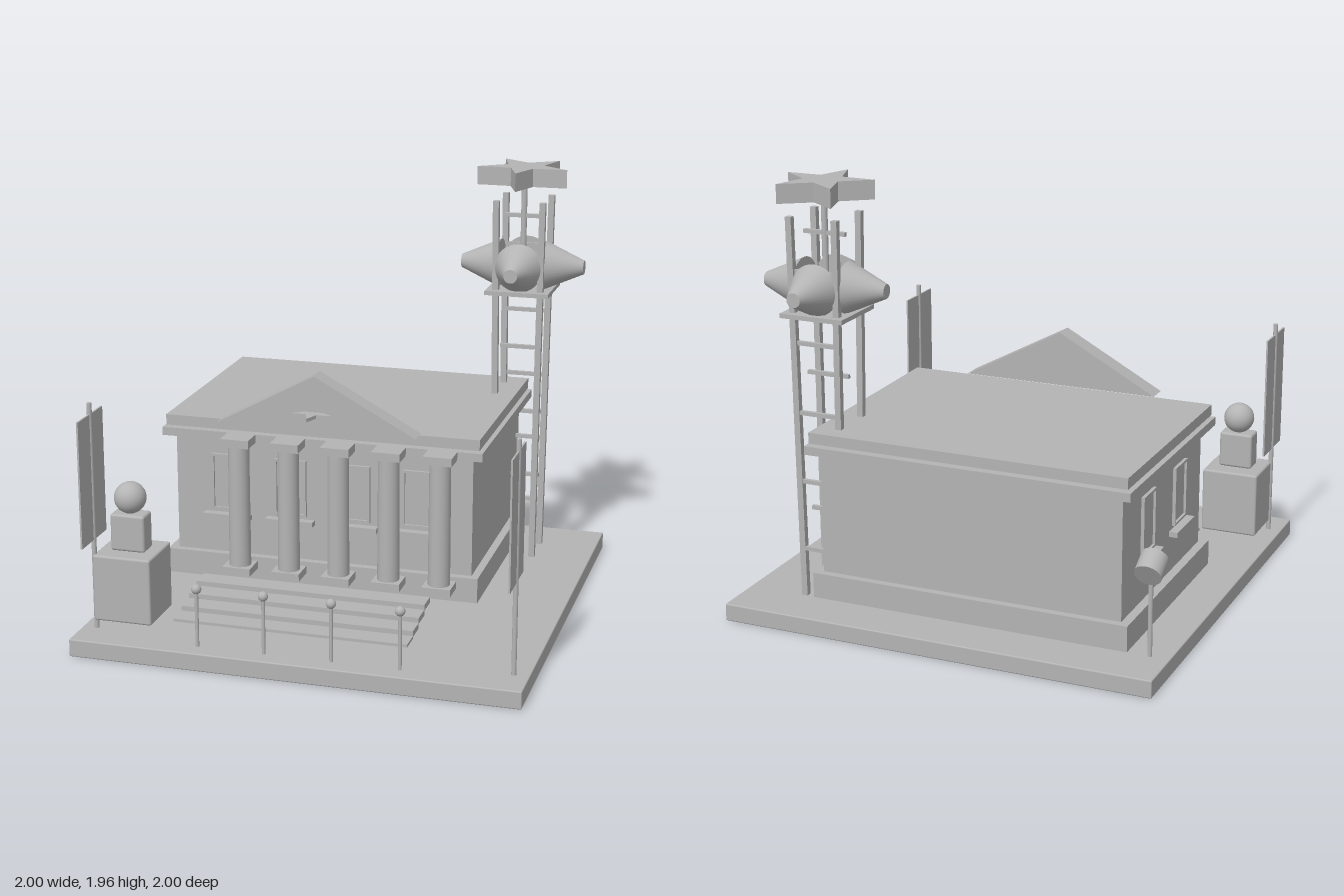
import * as THREE from 'three';
import { RoundedBoxGeometry } from 'three/addons/geometries/RoundedBoxGeometry.js';

export function createModel() {
  const model = new THREE.Group();
  const grey = new THREE.MeshStandardMaterial({ color: 0xb4b4b4 });
  grey.name = 'plain grey';

  const add = (name, geo, x = 0, y = 0, z = 0, parent = model) => {
    const m = new THREE.Mesh(geo, grey);
    m.name = name;
    m.position.set(x, y, z);
    parent.add(m);
    return m;
  };
  // box given by its limits on each axis
  const box = (name, x0, x1, y0, y1, z0, z1, parent) =>
    add(name, new THREE.BoxGeometry(x1 - x0, y1 - y0, z1 - z0), (x0 + x1) / 2, (y0 + y1) / 2, (z0 + z1) / 2, parent);
  const softBox = (name, x0, x1, y0, y1, z0, z1, r) =>
    add(name, new RoundedBoxGeometry(x1 - x0, y1 - y0, z1 - z0, 2, r), (x0 + x1) / 2, (y0 + y1) / 2, (z0 + z1) / 2);
  const post = (name, x, y0, y1, z, r, parent) =>
    add(name, new THREE.CylinderGeometry(r, r, y1 - y0, 16), x, (y0 + y1) / 2, z, parent);
  // horizontal five-pointed plate, one point towards +z
  const star = (name, R, thick, x, y, z) => {
    const pts = Array.from({ length: 10 }, (_, i) => {
      const r = i % 2 ? R * 0.4 : R, a = i * Math.PI / 5 - Math.PI / 2;
      return new THREE.Vector2(r * Math.cos(a), r * Math.sin(a));
    });
    const geo = new THREE.ExtrudeGeometry(new THREE.Shape(pts), { depth: thick, bevelEnabled: false });
    geo.rotateX(-Math.PI / 2);
    add(name, geo, x, y, z);
  };

  // ground slab and building body
  softBox('baseSlab', -1, 1, 0, 0.08, -1, 1, 0.006);
  box('plinth', -0.84, 0.63, 0.12, 0.235, -0.86, 0.2);
  box('walls', -0.8, 0.595, 0.235, 0.79, -0.825, 0.165);
  box('cornice', -0.852, 0.645, 0.787, 0.825, -0.88, 0.21);
  box('roofCore', -0.8, 0.595, 0.825, 0.835, -0.825, 0.165);
  box('roof', -0.836, 0.63, 0.835, 0.884, -0.865, 0.2);

  // pediment with its star
  const gable = new THREE.Shape([[-0.565, 0.89], [0.36, 0.89], [-0.105, 1.14]].map(p => new THREE.Vector2(...p)));
  add('pediment', new THREE.ExtrudeGeometry(gable, { depth: 0.096, bevelEnabled: false }), 0, 0, 0.186);
  star('pedimentStar', 0.1, 0.016, -0.105, 0.96, 0.29);

  // portico columns
  for (let i = 0; i < 5; i++) {
    const x = -0.47 + i * 0.234, column = new THREE.Group();
    column.name = 'column';
    model.add(column);
    box('columnBase', x - 0.066, x + 0.066, 0.18, 0.215, 0.19, 0.315, column);
    add('columnShaft', new THREE.CylinderGeometry(0.048, 0.05, 0.575, 24), x, 0.5, 0.252, column);
    box('columnCapital', x - 0.066, x + 0.066, 0.787, 0.825, 0.187, 0.315, column);
  }

  // entrance steps
  for (let i = 0; i < 4; i++) {
    const top = 0.093 + i * 0.0225, z = 0.682 - i * 0.1;
    box('step', -0.637, 0.433, Math.max(0.07, top - 0.027), top, z - 0.1, z);
  }

  // windows: frame, pane and sill, facing +z
  const frameShape = new THREE.Shape();
  frameShape.moveTo(-0.075, -0.133).lineTo(0.075, -0.133).lineTo(0.075, 0.133).lineTo(-0.075, 0.133);
  const hole = new THREE.Path();
  hole.moveTo(-0.064, -0.122).lineTo(-0.064, 0.122).lineTo(0.064, 0.122).lineTo(0.064, -0.122);
  frameShape.holes.push(hole);
  const frameGeo = new THREE.ExtrudeGeometry(frameShape, { depth: 0.015, bevelEnabled: false });
  const makeWindow = (x, z, turn) => {
    const w = new THREE.Group();
    w.name = 'window';
    w.position.set(x, 0.575, z);
    w.rotation.y = turn;
    model.add(w);
    add('windowFrame', frameGeo, 0, 0, 0, w);
    box('windowPane', -0.064, 0.064, -0.122, 0.122, -0.003, 0.004, w);
    box('windowSill', -0.113, 0.113, -0.172, -0.148, -0.01, 0.04, w);
  };
  for (let i = 0; i < 4; i++) makeWindow(-0.553 + i * 0.301, 0.165, 0);
  for (const z of [-0.53, -0.13]) makeWindow(-0.8, z, -Math.PI / 2);

  // bust on a pedestal
  softBox('pedestal', -0.938, -0.672, 0.122, 0.424, 0.6, 0.86, 0.01);
  softBox('bustTorso', -0.883, -0.725, 0.424, 0.592, 0.682, 0.78, 0.012);
  add('bustHead', new THREE.SphereGeometry(0.071, 24, 16), -0.804, 0.66, 0.73);

  // banners on poles
  for (const x of [-0.936, 0.932]) {
    post('bannerPole', x, 0.08, 1.107, 0.836, 0.011);
    box('banner', x - 0.004, x + 0.004, 0.49, 1.057, 0.705, 0.97);
  }

  // row of ball-topped bollards
  for (let i = 0; i < 4; i++) {
    const x = -0.437 + i * 0.3;
    post('bollardPost', x, 0.08, 0.335, 0.916, 0.008);
    add('bollardBall', new THREE.SphereGeometry(0.022, 16, 12), x, 0.342, 0.916);
  }

  // floodlight beside the rear corner
  post('floodlightPost', -0.91, 0.08, 0.47, -0.775, 0.01);
  add('floodlight', new THREE.CylinderGeometry(0.06, 0.06, 0.1, 24), -0.91, 0.482, -0.775).rotation.x = Math.PI / 3;

  // lattice tower
  const tx = 0.63, tz = -0.667, up = new THREE.Vector3(0, 1, 0);
  for (const sx of [-1, 1]) for (const sz of [-1, 1]) {
    const a = new THREE.Vector3(tx + sx * 0.094, 0.08, tz + sz * 0.094);
    const b = new THREE.Vector3(tx + sx * 0.109, 1.805, tz + sz * 0.109);
    const leg = add('towerLeg', new THREE.BoxGeometry(0.028, a.distanceTo(b), 0.028));
    leg.position.addVectors(a, b).multiplyScalar(0.5);
    leg.quaternion.setFromUnitVectors(up, b.clone().sub(a).normalize());
  }
  for (let i = 0; i < 10; i++) {
    const y = 0.305 + i * 0.1575, z = i % 2 ? tz : tz - 0.1;
    box('towerRung', tx - 0.1, tx + 0.1, y - 0.009, y + 0.009, z - 0.009, z + 0.009);
  }
  box('towerPlatform', tx - 0.15, tx + 0.15, 1.366, 1.386, tz - 0.15, tz + 0.15);

  // four horns around the mast, narrow ends outwards
  const hornGeo = new THREE.CylinderGeometry(0.032, 0.114, 0.185, 32);
  hornGeo.rotateX(Math.PI / 2).translate(0, 0, 0.1975);
  for (let i = 0; i < 4; i++) add('horn', hornGeo, tx, 1.492, tz).rotation.y = i * Math.PI / 2;

  post('mast', tx, 1.386, 1.88, tz, 0.014);
  star('towerStar', 0.22, 0.085, tx, 1.87, tz);

  return model;
}
